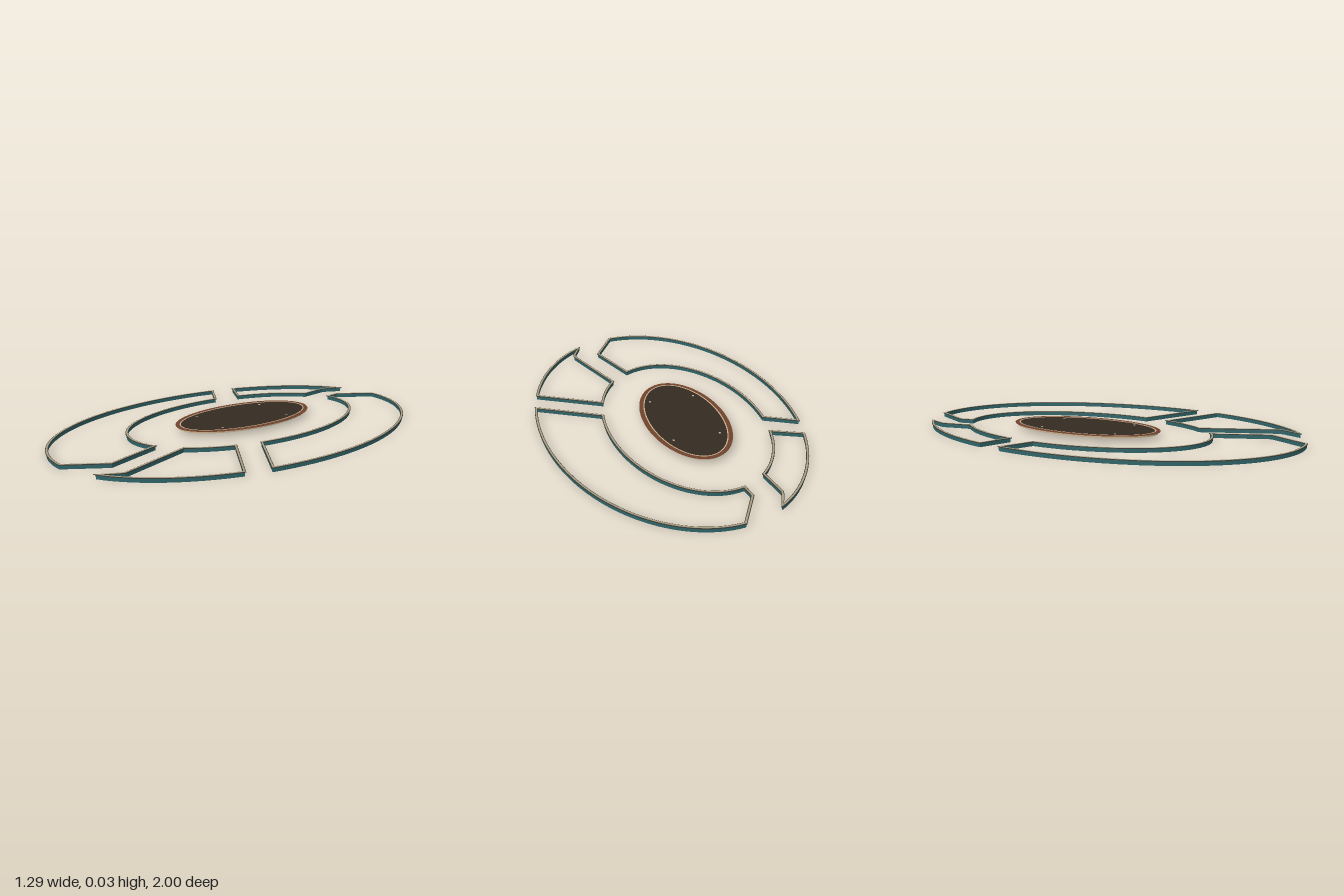
import * as THREE from 'three';
import { toCreasedNormals } from 'three/addons/utils/BufferGeometryUtils.js';

const mat = (name, color) => {
  const m = new THREE.MeshStandardMaterial({ color });
  m.name = name;
  return m;
};
const V = (x, z) => new THREE.Vector2(x, z);

// Ellipses in plan: centre x, centre z, radius x, radius z
const OUTER = [-0.001, -0.002, 0.638, 0.991];
const INNER = [-0.072, -0.098, 0.392, 0.653];
const OVAL = [-0.073, -0.1];

// Points on an ellipse between two plan positions, the short way round
function arc([cx, cz, rx, rz], from, to, n = 48) {
  const angle = ([x, z]) => Math.atan2((z - cz) / rz, (x - cx) / rx);
  const a = angle(from);
  let d = angle(to) - a;
  if (d > Math.PI) d -= 2 * Math.PI;
  if (d < -Math.PI) d += 2 * Math.PI;
  return Array.from({ length: n + 1 }, (_, i) => {
    const t = a + (d * i) / n;
    return V(cx + rx * Math.cos(t), cz + rz * Math.sin(t));
  });
}

// Closed outline moved sideways by d, with limited mitres
function offset(points, d) {
  const n = points.length;
  return points.map((p, i) => {
    const a = p.clone().sub(points[(i + n - 1) % n]).normalize();
    const b = points[(i + 1) % n].clone().sub(p).normalize();
    const na = V(a.y, -a.x), nb = V(b.y, -b.x);
    const m = na.clone().add(nb).normalize();
    return p.clone().addScaledVector(m, d / Math.max(0.4, m.dot(na)));
  });
}

// Closed rectangular-section ring between an outside and an inside outline
function ring(name, outside, inside, y0, y1, material) {
  const n = outside.length;
  const pos = [], index = [];
  for (let i = 0; i < n; i++) {
    const o = outside[i], q = inside[i];
    pos.push(o.x, y0, o.y, o.x, y1, o.y, q.x, y1, q.y, q.x, y0, q.y);
    const j = (i + 1) % n;
    for (let k = 0; k < 4; k++) {
      const l = (k + 1) % 4;
      const a = i * 4 + k, b = i * 4 + l, c = j * 4 + l, d = j * 4 + k;
      index.push(a, b, c, a, c, d);
    }
  }
  const geo = new THREE.BufferGeometry();
  geo.setAttribute('position', new THREE.Float32BufferAttribute(pos, 3));
  geo.setIndex(index);
  const mesh = new THREE.Mesh(toCreasedNormals(geo, 0.5), material);
  mesh.name = name;
  return mesh;
}

// Ring of a given width centred on an outline
function band(name, points, width, y0, y1, material) {
  const p = THREE.ShapeUtils.area(points) < 0 ? points.slice().reverse() : points;
  return ring(name, offset(p, width / 2), offset(p, -width / 2), y0, y1, material);
}

function ellipse(rx, rz, n = 96) {
  return Array.from({ length: n }, (_, i) => {
    const t = (i / n) * Math.PI * 2;
    return V(OVAL[0] + rx * Math.cos(t), OVAL[1] + rz * Math.sin(t));
  });
}

export function createModel() {
  const teal = mat('teal wall', 0x2f6468);
  const edge = mat('dark edge', 0x3b3a33);
  const trim = mat('pale trim', 0xa89c82);
  const brown = mat('brown rim', 0x70432c);
  const beige = mat('beige', 0xc9ae8e);
  const dark = mat('dark floor', 0x342b22);
  const model = new THREE.Group();
  model.name = 'ovalPlan';

  // Four enclosures, each an outer arc, a cut end, an inner arc and another cut end
  const enclosures = {
    backRight: [
      ...arc(OUTER, [-0.043, -0.995], [0.617, 0.244]),
      ...arc(INNER, [0.307, 0.07], [-0.137, -0.743]),
      V(-0.146, -0.815),
    ],
    frontLeft: [
      ...arc(OUTER, [-0.618, -0.27], [0.045, 0.988]),
      V(0.161, 0.791),
      ...arc(INNER, [0.064, 0.518], [-0.465, -0.185]),
    ],
    backLeft: [
      ...arc(OUTER, [-0.59, -0.397], [-0.24, -0.922], 24),
      V(-0.273, -0.85), V(-0.28, -0.825), V(-0.278, -0.805),
      ...arc(INNER, [-0.26, -0.675], [-0.442, -0.328], 24),
    ],
    frontRight: [
      ...arc(OUTER, [0.592, 0.38], [0.252, 0.907], 24),
      V(0.293, 0.825), V(0.3, 0.8), V(0.297, 0.785),
      ...arc(INNER, [0.168, 0.422], [0.28, 0.204], 24),
    ],
  };
  for (const [name, points] of Object.entries(enclosures)) {
    const g = new THREE.Group();
    g.name = name + 'Enclosure';
    g.add(
      band('wall', points, 0.005, 0, 0.019, teal),
      band('cap', points, 0.014, 0.019, 0.022, edge),
      band('capTrim', points, 0.008, 0.022, 0.023, trim),
    );
    model.add(g);
  }

  // Central oval platform
  const oval = new THREE.Group();
  oval.name = 'centralOval';
  const floor = new THREE.Mesh(new THREE.CylinderGeometry(1, 1, 0.009, 96), dark);
  floor.name = 'ovalFloor';
  floor.scale.set(0.186, 1, 0.374);
  floor.position.set(OVAL[0], 0.0275, OVAL[1]);
  oval.add(
    floor,
    ring('ovalWall', ellipse(0.196, 0.385), ellipse(0.184, 0.373), 0.02, 0.031, beige),
    ring('ovalRim', ellipse(0.208, 0.396), ellipse(0.186, 0.375), 0.031, 0.033, brown),
    ring('ovalInlay', ellipse(0.186, 0.375), ellipse(0.18, 0.369), 0.031, 0.0335, beige),
  );
  // Small studs on the floor
  for (const x of [-0.19, 0.045]) {
    for (const z of [-0.29, 0.115]) {
      const stud = new THREE.Mesh(new THREE.CylinderGeometry(0.006, 0.006, 0.003, 12), beige);
      stud.name = 'stud';
      stud.position.set(x, 0.032, z);
      oval.add(stud);
    }
  }
  model.add(oval);
  return model;
}
